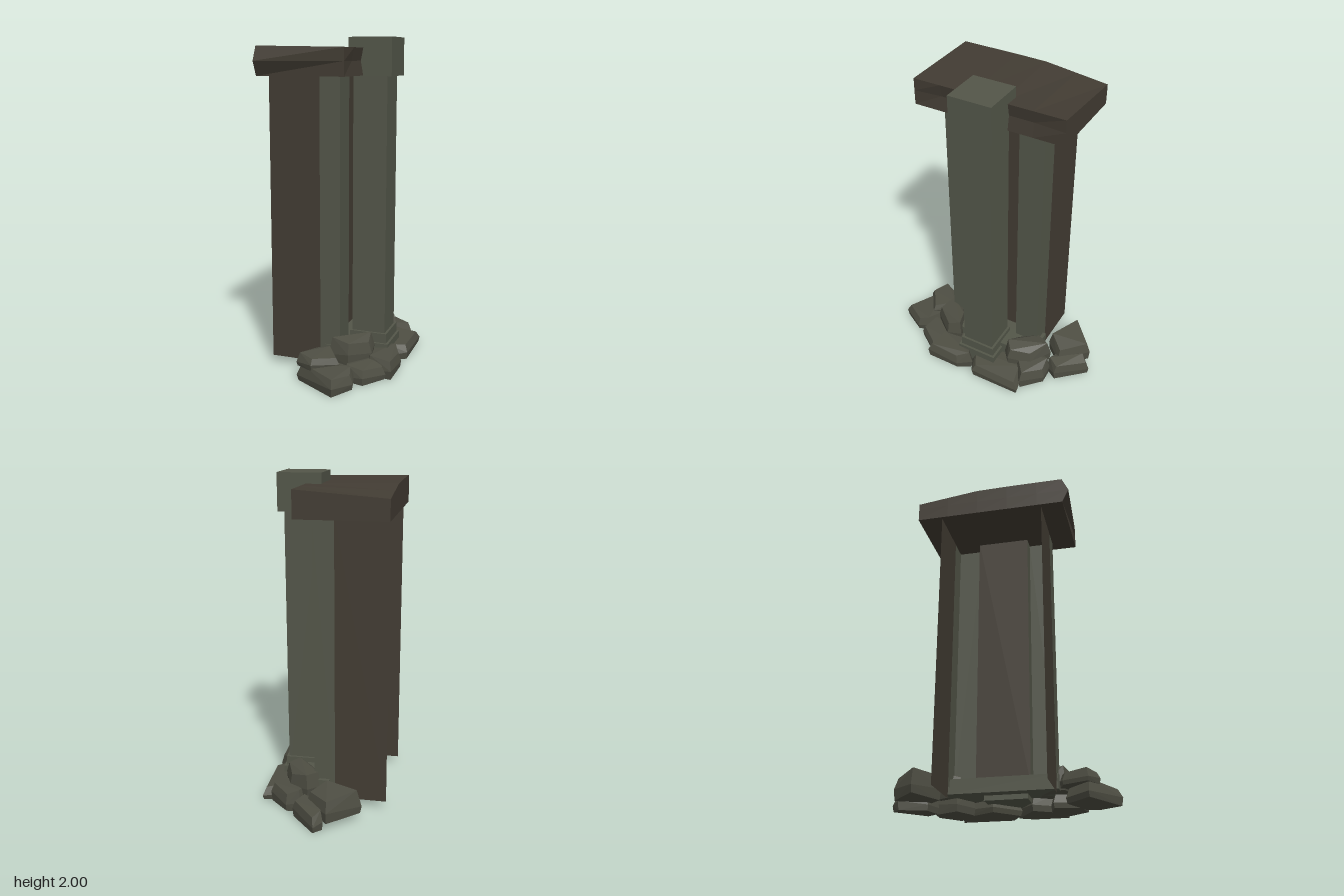
import * as THREE from 'three';
import { ConvexGeometry } from 'three/addons/geometries/ConvexGeometry.js';

const makeStone = (color) => new THREE.MeshStandardMaterial({ color, flatShading: true, side: THREE.DoubleSide });
const stone = makeStone(0x535649);
const darkStone = makeStone(0x423c33);
const rockStone = makeStone(0x4e4e43);

function add(parent, name, geometry, material) {
  const mesh = new THREE.Mesh(geometry, material);
  mesh.name = name;
  parent.add(mesh);
  return mesh;
}

// Box given by its centre on the ground plan and its bottom and top heights
function block(parent, name, x, z, width, depth, y0, y1) {
  const mesh = add(parent, name, new THREE.BoxGeometry(width, y1 - y0, depth), stone);
  mesh.position.set(x, (y0 + y1) / 2, z);
}

// Upright open sheet that follows a ground-plan polyline
function sheet(plan, y0, y1) {
  const pos = [];
  for (let i = 0; i < plan.length - 1; i++) {
    const [ax, az] = plan[i], [bx, bz] = plan[i + 1];
    pos.push(ax, y0, az, bx, y0, bz, bx, y1, bz, ax, y0, az, bx, y1, bz, ax, y1, az);
  }
  const geometry = new THREE.BufferGeometry();
  geometry.setAttribute('position', new THREE.Float32BufferAttribute(pos, 3));
  geometry.computeVertexNormals();
  return geometry;
}

// Rough capstone: a segmented box with a grooved front and a top that sinks at the back ends
function lintelGeometry() {
  const geometry = new THREE.BoxGeometry(0.96, 0.17, 0.535, 5, 2, 1);
  const p = geometry.attributes.position;
  for (let i = 0; i < p.count; i++) {
    let x = p.getX(i), y = p.getY(i), z = p.getZ(i);
    const mid = Math.abs(y) < 0.01, top = y > 0.01, front = z > 0;
    if (front && mid && Math.abs(x) < 0.4) z -= 0.015;
    if (top && front) y -= 0.01;
    if (top && !front) y -= 0.05 * Math.max(0, (x - 0.07) / 0.41);
    if (x < -0.4 && !front) x += mid ? -0.01 : 0.03;
    if (x < -0.4 && front) x += 0.02;
    p.setXYZ(i, x + 0.015, y + 1.863, z - 0.078);
  }
  const flat = geometry.toNonIndexed();
  flat.computeVertexNormals();
  return flat;
}

// Faceted boulder: an outline with a narrower top and a slightly tucked base
function rockGeometry(outline, y0, y1) {
  const cx = outline.reduce((s, p) => s + p[0], 0) / outline.length;
  const cz = outline.reduce((s, p) => s + p[1], 0) / outline.length;
  const points = [];
  outline.forEach(([x, z], i) => {
    const h = y1 - y0;
    const rows = [[0.95, y0], [1, y0 + h * (0.3 + 0.15 * (i % 2))], [0.84, y1 - h * 0.12 * (i % 3)]];
    for (const [s, y] of rows) points.push(new THREE.Vector3(cx + (x - cx) * s, y, cz + (z - cz) * s));
  });
  return new ConvexGeometry(points);
}

export function createModel() {
  const model = new THREE.Group();
  model.name = 'ruinedPillar';

  // The masonry stands diagonally, facing between front and left
  const masonry = new THREE.Group();
  masonry.name = 'masonry';
  masonry.rotation.y = Math.PI / 4;
  model.add(masonry);

  // Open-backed wall: dark side walls, then square hollow columns beside a recessed middle
  const centre = 0.022;
  for (const side of [-1, 1]) {
    const name = side < 0 ? 'right' : 'left';
    const at = (plan) => plan.map(([x, z]) => [centre + side * x, z]);
    add(masonry, name + 'SideWall', sheet(at([[0.32, -0.33], [0.32, -0.013]]), 0.05, 1.79), darkStone);
    add(masonry, name + 'Column',
      sheet(at([[0.32, -0.013], [0.32, 0.114], [0.164, 0.114], [0.164, 0.03]]), 0.12, 1.79), stone);
  }
  add(masonry, 'recessedMiddle', sheet([[centre - 0.164, 0.03], [centre + 0.164, 0.03]], 0.12, 1.79), darkStone);

  // Front pillar with its stepped foot and head block, on a low slab
  block(masonry, 'frontPillar', 0.02, 0.224, 0.205, 0.21, 0.1, 1.8);
  block(masonry, 'pillarFoot', 0.02, 0.226, 0.265, 0.265, 0.05, 0.14);
  block(masonry, 'pillarFootStep', 0.02, 0.226, 0.235, 0.235, 0.14, 0.2);
  block(masonry, 'pillarHead', 0.02, 0.23, 0.265, 0.265, 1.775, 2);
  block(masonry, 'baseSlab', 0.03, 0.13, 0.67, 0.22, 0.08, 0.17);
  add(masonry, 'lintel', lintelGeometry(), darkStone);

  // Boulders heaped around the front: ground outline, bottom, top
  const rocks = [
    [[[-0.41, 0.28], [-0.33, 0.595], [-0.17, 0.55], [-0.13, 0.48], [-0.2, 0.28]], 0, 0.11],
    [[[-0.17, 0.42], [-0.1, 0.53], [0.07, 0.5], [0.1, 0.38], [-0.08, 0.28]], 0, 0.1],
    [[[0.0, 0.4], [0.09, 0.53], [0.25, 0.37], [0.28, 0.27], [0.05, 0.22]], 0, 0.12],
    [[[0.2, 0.25], [0.34, 0.29], [0.575, 0.05], [0.45, -0.03], [0.2, 0.04]], 0, 0.1],
    [[[0.34, -0.0], [0.53, 0.02], [0.525, -0.15], [0.46, -0.21], [0.3, -0.15]], 0, 0.14],
    [[[0.43, -0.2], [0.52, -0.22], [0.53, -0.46], [0.46, -0.46], [0.38, -0.3]], 0, 0.12],
    [[[0.21, -0.5], [0.46, -0.49], [0.45, -0.27], [0.3, -0.26]], 0.05, 0.2],
    [[[-0.41, 0.28], [-0.37, 0.4], [-0.2, 0.43], [-0.17, 0.26], [-0.25, 0.22]], 0.09, 0.17],
    [[[-0.2, 0.28], [-0.13, 0.4], [0.04, 0.38], [0.1, 0.3], [-0.02, 0.24], [-0.14, 0.22]], 0.08, 0.23],
    [[[0.3, 0.05], [0.39, 0.06], [0.45, -0.08], [0.42, -0.23], [0.3, -0.2], [0.26, -0.06]], 0.08, 0.23],
  ];
  const heap = new THREE.Group();
  heap.name = 'boulderHeap';
  model.add(heap);
  rocks.forEach(([outline, y0, y1], i) => add(heap, 'boulder' + (i + 1), rockGeometry(outline, y0, y1), rockStone));

  return model;
}
